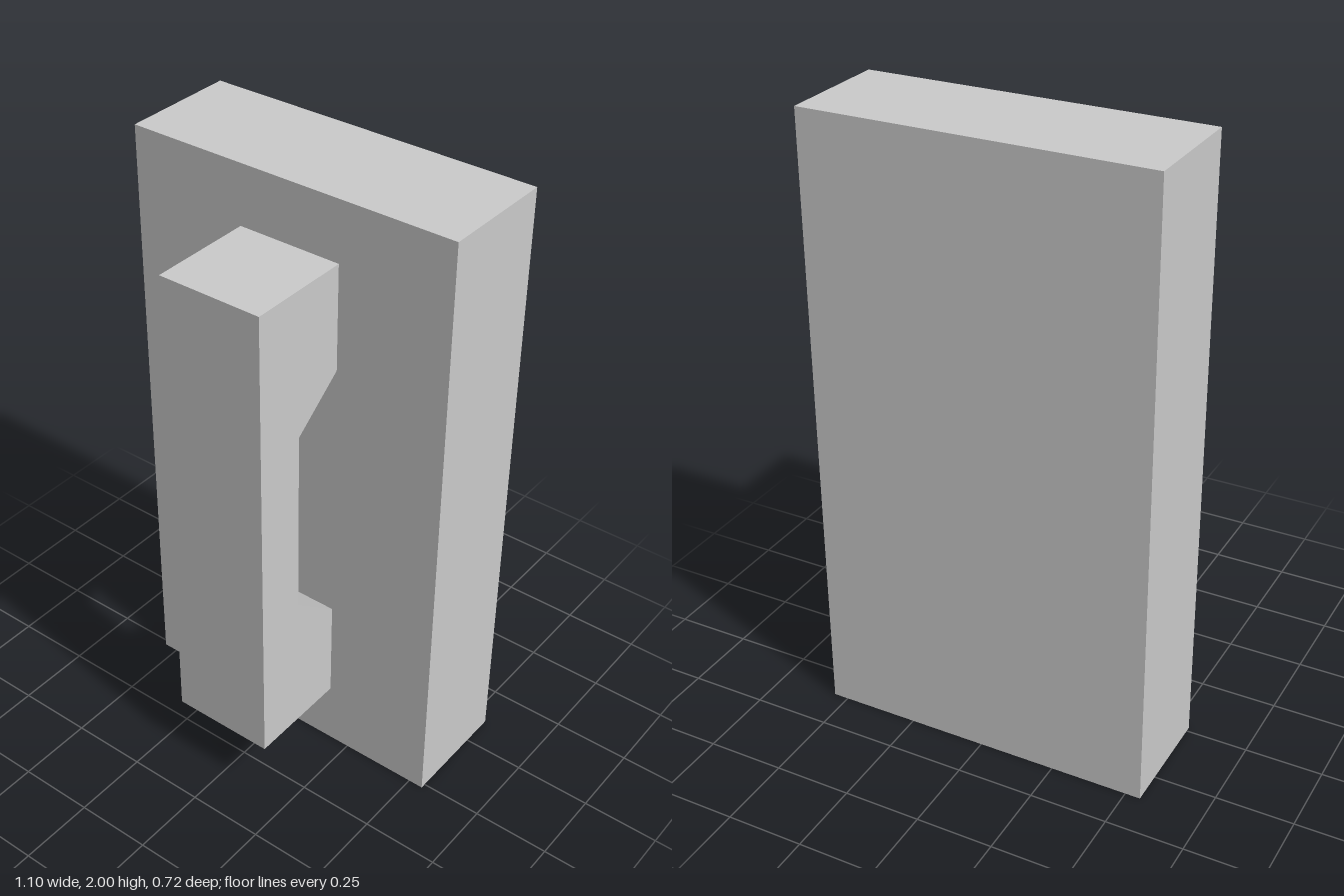
import * as THREE from 'three';

export function createModel() {
  const model = new THREE.Group();
  const material = new THREE.MeshStandardMaterial({ color: 0xcccccc, flatShading: true });
  const back = -0.36, face = 0.017, front = 0.36;

  // Upright slab
  const panel = new THREE.Mesh(new THREE.BoxGeometry(1.098, 2, face - back), material);
  panel.name = 'panel';
  panel.position.set(0, 1, (back + face) / 2);
  model.add(panel);

  // Pull handle: side profile in (z, y) with a bevelled finger gap, extruded across x
  const right = -0.165, left = 0.177, grip = 0.19;
  const profile = new THREE.Shape([
    [face, 0.22], [front, 0.22], [front, 1.805], [face, 1.805],
    [face, 1.46], [grip, 1.325], [grip, 0.703], [face, 0.565],
  ].map(([z, y]) => new THREE.Vector2(z, y)));
  const handleGeometry = new THREE.ExtrudeGeometry(profile, { depth: left - right, bevelEnabled: false });
  handleGeometry.rotateY(-Math.PI / 2).translate(left, 0, 0);
  const handle = new THREE.Mesh(handleGeometry, material);
  handle.name = 'handle';
  model.add(handle);

  return model;
}
